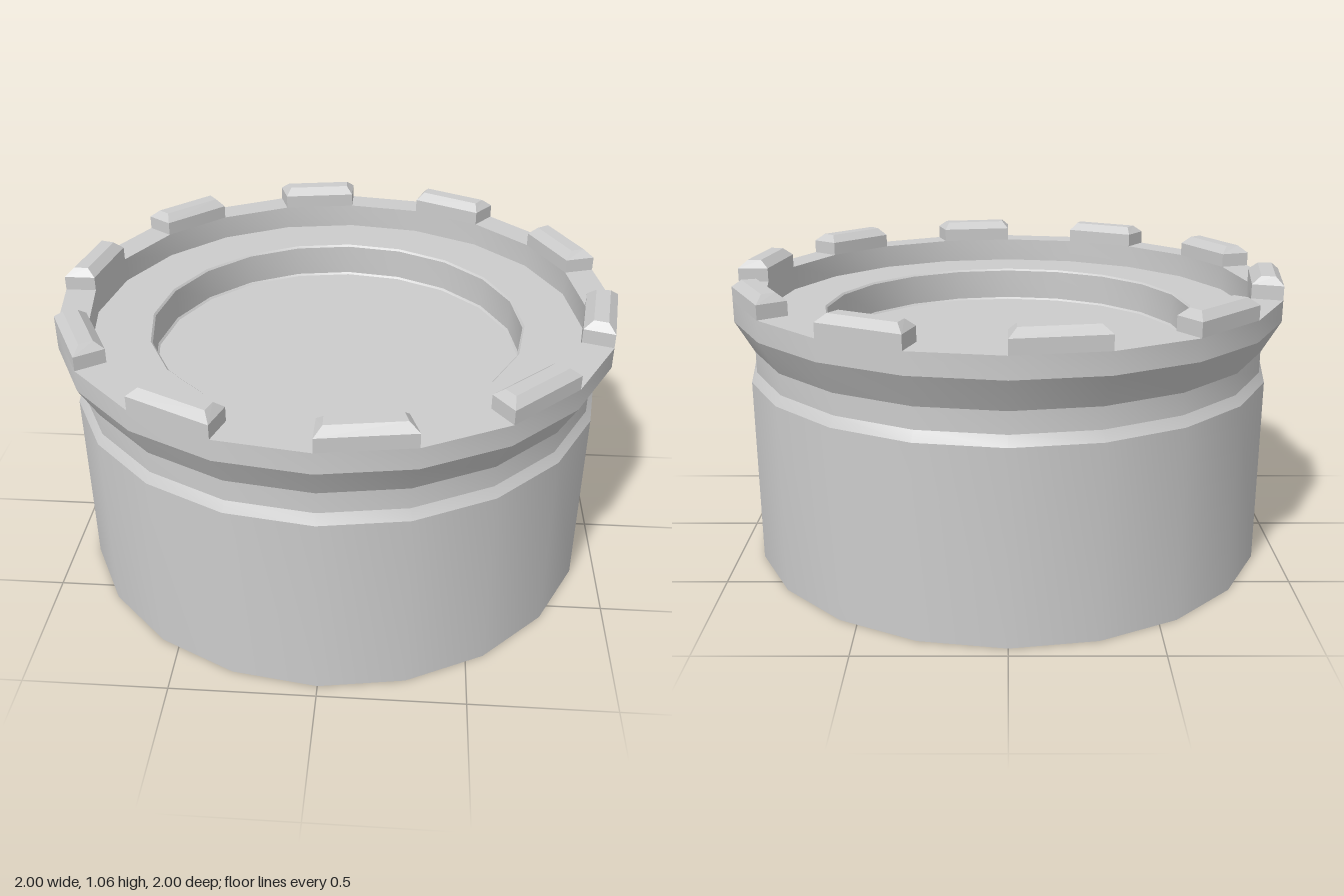
import * as THREE from 'three';
import { toCreasedNormals } from 'three/addons/utils/BufferGeometryUtils.js';

const SIDES = 20;
const STEP = (Math.PI * 2) / SIDES;

// One crenel block spanning one side of the rim: straight walls, chamfered top
function toothGeometry() {
  const layers = [ // y, outer radius, inner radius, end inset angle
    [0.98, 1.0, 0.89, 0],
    [1.03, 1.0, 0.89, 0],
    [1.057, 0.968, 0.918, 0.027],
  ];
  const pos = [];
  for (const [y, outer, inner, inset] of layers) {
    const a = inset, b = STEP - inset;
    for (const [angle, r] of [[a, outer], [b, outer], [b, inner], [a, inner]]) {
      pos.push(r * Math.sin(angle), y, r * Math.cos(angle));
    }
  }
  const index = [];
  for (let l = 0; l < layers.length - 1; l++) {
    for (let i = 0; i < 4; i++) {
      const p = l * 4 + i, q = l * 4 + ((i + 1) % 4);
      index.push(p, q, q + 4, p, q + 4, p + 4);
    }
  }
  const t = (layers.length - 1) * 4;
  index.push(t, t + 1, t + 2, t, t + 2, t + 3); // top
  index.push(0, 2, 1, 0, 3, 2); // underside
  const geo = new THREE.BufferGeometry();
  geo.setAttribute('position', new THREE.Float32BufferAttribute(pos, 3));
  geo.setIndex(index);
  const flat = geo.toNonIndexed();
  flat.computeVertexNormals();
  return flat;
}

export function createModel() {
  const group = new THREE.Group();
  group.name = 'crenellatedTower';

  // Thin shell: drum, neck groove, flared rim, ledge and sunken floor; open below
  const profile = [
    [0.955, 0], [0.955, 0.68], [0.935, 0.715], [0.935, 0.79],
    [1.0, 0.905], [1.0, 0.98], [0.89, 0.98], [0.89, 0.89],
    [0.682, 0.89], [0.675, 0.883], [0.675, 0.767], [0.668, 0.76], [0, 0.76],
  ].map(([r, y]) => new THREE.Vector2(r, y));
  const shell = new THREE.Mesh(
    toCreasedNormals(new THREE.LatheGeometry(profile, SIDES), 0.4),
    new THREE.MeshStandardMaterial({ color: 0xcccccc, side: THREE.DoubleSide })
  );
  shell.name = 'shell';
  group.add(shell);

  // Teeth on every second side of the rim
  const teeth = new THREE.Group();
  teeth.name = 'teeth';
  const geo = toothGeometry();
  const mat = new THREE.MeshStandardMaterial({ color: 0xcccccc, flatShading: true });
  for (let i = 0; i < SIDES / 2; i++) {
    const tooth = new THREE.Mesh(geo, mat);
    tooth.name = 'tooth' + (i + 1);
    tooth.rotation.y = i * 2 * STEP;
    teeth.add(tooth);
  }
  group.add(teeth);
  return group;
}
